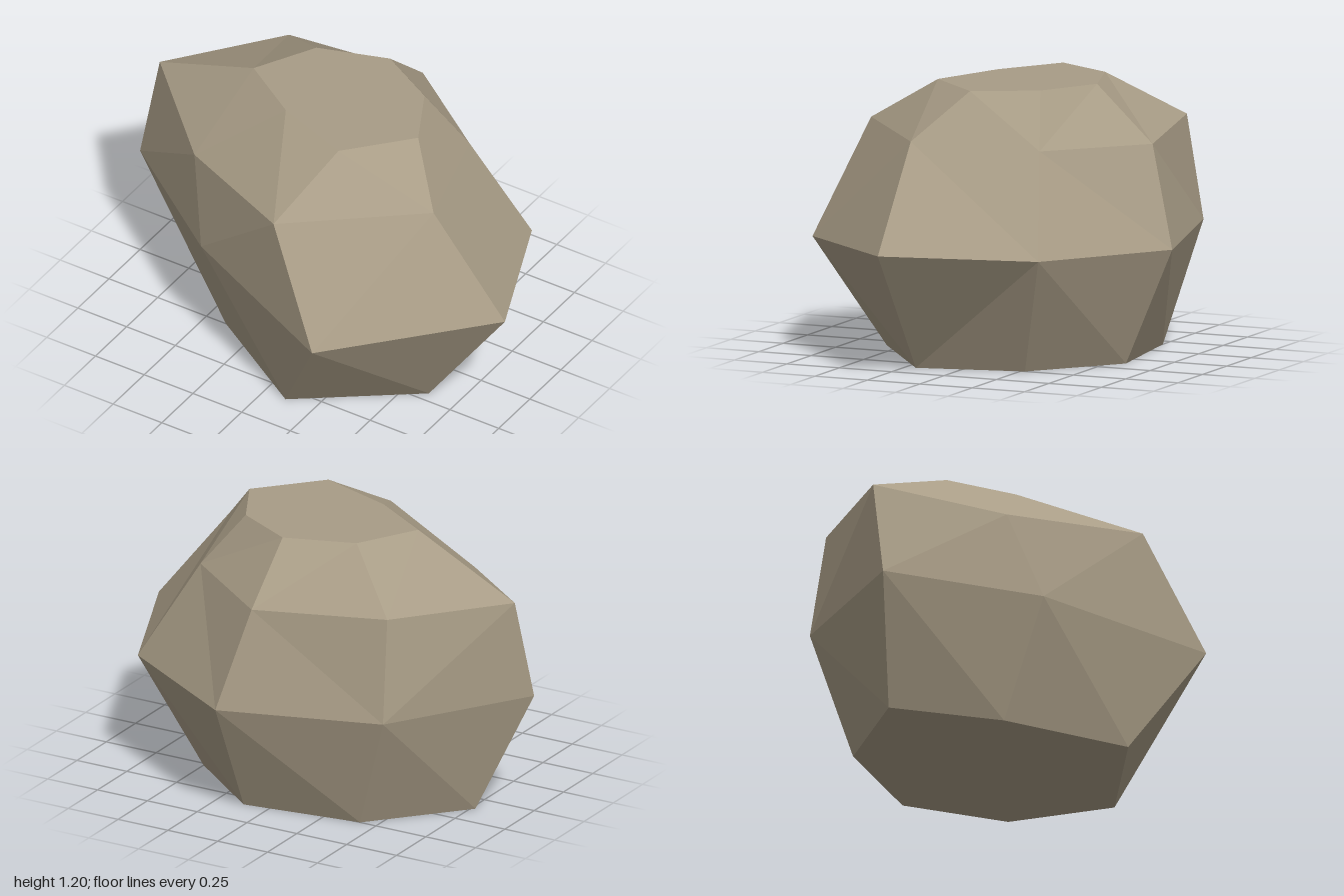
import * as THREE from 'three';

// Cross-sections of the boulder from ground to crown, each [x, y, z] counterclockwise from above
const rings = [
  [[0.61, 0, 0.2], [0.5, 0, -0.27], [0.12, 0, -0.575], [-0.42, 0, -0.5], [-0.77, 0, -0.11], [-0.4, 0, 0.25], [0.11, 0, 0.57]],
  [[1, 0.545, 0.2], [0.73, 0.525, -0.44], [0.13, 0.515, -0.8], [-0.6, 0.53, -0.61], [-1, 0.535, 0], [-0.4, 0.545, 0.45], [0.39, 0.505, 0.795]],
  [[0.64, 0.995, 0.21], [0.48, 0.965, -0.33], [0.03, 0.955, -0.66], [-0.58, 0.99, -0.54], [-0.95, 0.985, -0.08], [-0.51, 0.92, 0.33], [0.1, 0.995, 0.65]],
  [[0.44, 1.2, 0.02], [0.3, 1.2, -0.25], [0.03, 1.2, -0.395], [-0.28, 1.2, -0.29], [-0.43, 1.2, -0.02], [-0.15, 1.2, 0.16], [0.2, 1.2, 0.285]],
].map((ring) => ring.map((p) => new THREE.Vector3(...p)));

function facetedGeometry(triangles) {
  const geometry = new THREE.BufferGeometry().setFromPoints(triangles);
  geometry.computeVertexNormals();
  return geometry;
}

export function createModel() {
  const stone = new THREE.MeshStandardMaterial({ color: 0xa89c86, flatShading: true });
  stone.name = 'stone';
  const triangles = [];
  const count = rings[0].length;

  // Side facets: split each quad along its shorter diagonal
  for (let r = 0; r < rings.length - 1; r++) {
    for (let i = 0; i < count; i++) {
      const j = (i + 1) % count;
      const a = rings[r][i], b = rings[r][j], c = rings[r + 1][j], d = rings[r + 1][i];
      if (a.distanceTo(c) < b.distanceTo(d)) triangles.push(a, b, c, a, c, d);
      else triangles.push(a, b, d, b, c, d);
    }
  }

  // Flat crown and underside
  const bottom = rings[0], top = rings[rings.length - 1];
  for (let i = 1; i < count - 1; i++) {
    triangles.push(top[0], top[i], top[i + 1], bottom[0], bottom[i + 1], bottom[i]);
  }

  const boulder = new THREE.Mesh(facetedGeometry(triangles), stone);
  boulder.name = 'boulder';
  const group = new THREE.Group();
  group.name = 'rock';
  group.add(boulder);
  return group;
}
